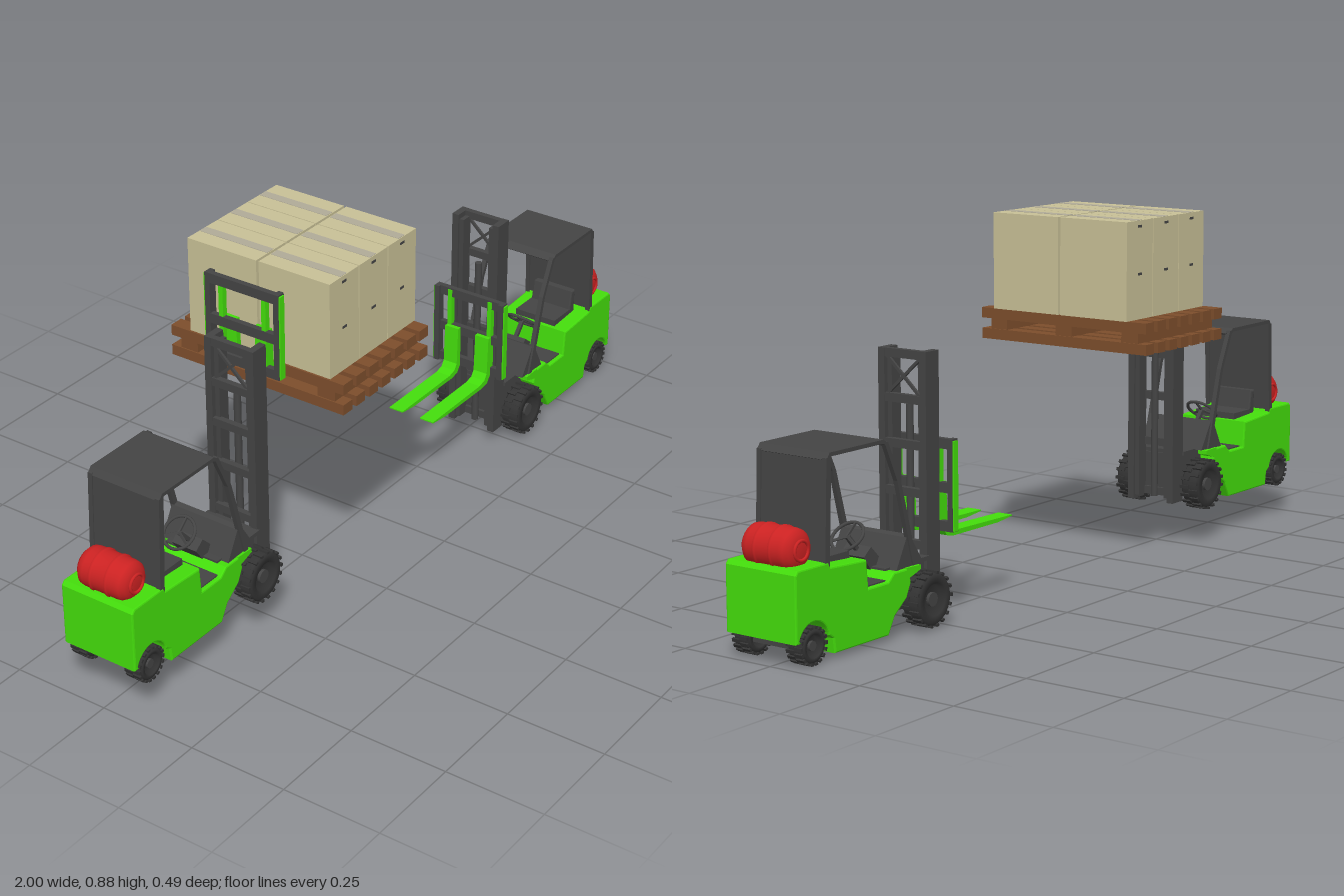
import * as THREE from 'three';

const mat = (color) => new THREE.MeshStandardMaterial({ color });
const GREEN = mat(0x44dd0c), DARK = mat(0x444444), TYRE = mat(0x333333), RED = mat(0xcc2222);
const WOOD = mat(0x7d4e2c), CARD = mat(0xc8c096), TAPE = mat(0xb0ab98);

function add(parent, name, geo, material, x = 0, y = 0, z = 0) {
  const m = new THREE.Mesh(geo, material);
  m.name = name;
  m.position.set(x, y, z);
  parent.add(m);
  return m;
}

// box given by its ranges
function span(parent, name, material, x0, x1, y0, y1, z0, z1) {
  return add(parent, name, new THREE.BoxGeometry(x1 - x0, y1 - y0, z1 - z0), material,
    (x0 + x1) / 2, (y0 + y1) / 2, (z0 + z1) / 2);
}

// side profile pulled out across the width, centred on z
function slab(parent, name, material, shape, z, width, bevel = 0) {
  const geo = new THREE.ExtrudeGeometry(shape, {
    depth: width - 2 * bevel, bevelEnabled: bevel > 0, bevelSize: bevel, bevelThickness: bevel,
    bevelOffset: -bevel, bevelSegments: 2, curveSegments: 10,
  });
  geo.translate(0, 0, -width / 2 + bevel);
  return add(parent, name, geo, material, 0, 0, z);
}

const poly = (pts) => new THREE.Shape(pts.map((p) => new THREE.Vector2(...p)));

// straight bar between two points
function bar(parent, name, material, a, b, w, d) {
  const A = new THREE.Vector3(...a), B = new THREE.Vector3(...b);
  const m = add(parent, name, new THREE.BoxGeometry(w, A.distanceTo(B), d), material);
  m.position.copy(A).add(B).multiplyScalar(0.5);
  m.quaternion.setFromUnitVectors(new THREE.Vector3(0, 1, 0), B.clone().sub(A).normalize());
  return m;
}

function wheel(parent, name, x, y, z, r, width) {
  const g = new THREE.Group();
  g.name = name;
  g.position.set(x, y, z);
  parent.add(g);
  const h = width / 2, s = r - 0.005;
  const profile = [[0, -h * 0.5], [r * 0.5, -h * 0.5], [r * 0.58, -h], [s - 0.006, -h], [s, -h * 0.75],
    [s, h * 0.75], [s - 0.006, h], [r * 0.58, h], [r * 0.5, h * 0.5], [0, h * 0.5]];
  const tyre = add(g, 'tyre', new THREE.LatheGeometry(profile.map((p) => new THREE.Vector2(...p)), 28), TYRE);
  tyre.rotation.x = Math.PI / 2;
  const hub = add(g, 'hub', new THREE.CylinderGeometry(r * 0.25, r * 0.25, width * 0.8, 16), DARK);
  hub.rotation.x = Math.PI / 2;
  // tread lugs, staggered on the two halves
  for (let i = 0; i < 36; i++) {
    const a = (i / 36) * Math.PI * 2;
    const lug = add(g, 'treadLug', new THREE.BoxGeometry(0.008, 0.006, h), TYRE,
      Math.sin(a) * (r - 0.004), Math.cos(a) * (r - 0.004), (i % 2 ? 1 : -1) * h * 0.5);
    lug.rotation.z = -a;
  }
}

// truck with its rear at x = 0, driving towards +x
function forklift(name, lift) {
  const t = new THREE.Group();
  t.name = name;

  // bodywork with rear wheel arch, seat box, footwell and front fender
  const s = poly([[0.31, 0.015], [0.332, 0.055], [0.375, 0.088], [0.39, 0.12], [0.385, 0.155], [0.33, 0.155],
    [0.31, 0.137], [0.242, 0.137], [0.236, 0.203], [0.115, 0.21], [0.108, 0.222], [0.008, 0.222],
    [0, 0.212], [0, 0.06], [0.01, 0.06]]);
  s.absarc(0.059, 0.05, 0.05, Math.PI * 0.94, 0.2, true);
  s.lineTo(0.122, 0.05);
  s.lineTo(0.127, 0.015);
  slab(t, 'body', GREEN, s, 0, 0.202, 0.004);

  // chassis, axles and deck
  span(t, 'frontChassis', DARK, 0.36, 0.495, 0.05, 0.15, -0.06, 0.06);
  span(t, 'frontDeck', DARK, 0.33, 0.49, 0.15, 0.16, -0.075, 0.075);
  span(t, 'footwellMat', DARK, 0.245, 0.312, 0.136, 0.14, -0.09, 0.09);
  span(t, 'rearAxle', DARK, 0.04, 0.08, 0.035, 0.085, -0.06, 0.06);
  for (const k of [-1, 1]) {
    wheel(t, 'frontWheel', 0.445, 0.073, k * 0.1, 0.066, 0.05);
    wheel(t, 'rearWheel', 0.059, 0.046, k * 0.078, 0.045, 0.044);
    // front fender strip over the wheel
    slab(t, 'frontFender', GREEN, poly([[0.375, 0.13], [0.4, 0.137], [0.425, 0.145], [0.425, 0.155], [0.375, 0.157]]),
      k * 0.088, 0.026);
  }

  // seat
  span(t, 'seatCushion', DARK, 0.135, 0.225, 0.2, 0.22, -0.06, 0.06);
  slab(t, 'seatBack', DARK, poly([[0.125, 0.205], [0.15, 0.21], [0.14, 0.27], [0.122, 0.27]]), 0, 0.12, 0.004);

  // cowl and steering
  slab(t, 'cowl', DARK, poly([[0.345, 0.155], [0.382, 0.225], [0.394, 0.23], [0.44, 0.158]]), 0, 0.19);
  slab(t, 'pedalBox', DARK, poly([[0.305, 0.185], [0.33, 0.205], [0.365, 0.17], [0.33, 0.15]]), 0, 0.07);
  bar(t, 'steeringColumn', DARK, [0.29, 0.232, 0], [0.345, 0.17, 0], 0.01, 0.01);
  const wheelGroup = new THREE.Group();
  wheelGroup.name = 'steeringWheel';
  wheelGroup.position.set(0.29, 0.232, 0);
  wheelGroup.rotation.z = 0.72;
  t.add(wheelGroup);
  add(wheelGroup, 'rim', new THREE.TorusGeometry(0.04, 0.004, 8, 28), DARK).rotation.x = Math.PI / 2;
  for (let i = 0; i < 3; i++) {
    const a = (i * Math.PI * 2) / 3;
    bar(wheelGroup, 'spoke', DARK, [0, 0, 0], [Math.cos(a) * 0.04, 0, Math.sin(a) * 0.04], 0.006, 0.004);
  }

  // overhead guard: roof, solid rear panel and bent front posts
  slab(t, 'roof', DARK, poly([[0.107, 0.446], [0.118, 0.461], [0.3, 0.461], [0.318, 0.448], [0.313, 0.444],
    [0.298, 0.452], [0.122, 0.452], [0.113, 0.443]]), 0, 0.2);
  slab(t, 'rearPanel', DARK, poly([[0.1, 0.21], [0.11, 0.21], [0.12, 0.45], [0.11, 0.45]]), 0, 0.18);
  for (const k of [-1, 1]) {
    slab(t, 'rearPost', DARK, poly([[0.098, 0.21], [0.113, 0.21], [0.123, 0.455], [0.107, 0.45]]), k * 0.094, 0.012);
    slab(t, 'frontPost', DARK, poly([[0.302, 0.455], [0.314, 0.455], [0.358, 0.36], [0.414, 0.158],
      [0.4, 0.158], [0.346, 0.36]]), k * 0.094, 0.012);
  }

  // gas bottle lying across the rear, with bands
  const half = [[0, 0.072], [0.02, 0.072], [0.036, 0.067], [0.046, 0.057], [0.048, 0.045], [0.048, 0.027],
    [0.051, 0.025], [0.051, 0.019], [0.048, 0.017]];
  const outline = [...half.map(([r, h]) => [r, -h]), ...half.slice().reverse()];
  add(t, 'gasBottle', new THREE.LatheGeometry(outline.map((p) => new THREE.Vector2(...p)), 32), RED,
    0.053, 0.254, 0).rotation.x = Math.PI / 2;
  for (const k of [-1, 1]) {
    add(t, 'bottleCollar', new THREE.TorusGeometry(0.022, 0.004, 8, 20), RED, 0.053, 0.254, k * 0.072);
    span(t, 'bottleCradle', DARK, 0.02, 0.095, 0.215, 0.226, k * 0.045 - 0.008, k * 0.045 + 0.008);
  }

  // mast: channel rails, cross members and top bracing
  for (const k of [-1, 1]) {
    span(t, 'outerRail', DARK, 0.487, 0.535, 0.03, 0.628, k * 0.06 - 0.009, k * 0.06 + 0.009);
    span(t, 'innerRail', DARK, 0.498, 0.53, 0.04, 0.615, k * 0.044 - 0.006, k * 0.044 + 0.006);
    bar(t, 'mastBrace', DARK, [0.495, 0.52, -k * 0.05], [0.495, 0.612, k * 0.05], 0.006, 0.007);
  }
  for (const y of [0.05, 0.18, 0.3, 0.41, 0.515, 0.618]) {
    span(t, 'mastCrossMember', DARK, 0.488, 0.503, y - 0.01, y + 0.01, -0.06, 0.06);
  }
  add(t, 'liftCylinder', new THREE.CylinderGeometry(0.009, 0.009, 0.46, 14), DARK, 0.515, 0.27, 0);

  // carriage and forks, raised together
  const c = new THREE.Group();
  c.name = 'forkCarriage';
  c.position.y = lift;
  t.add(c);
  for (const y of [0.22, 0.31, 0.412]) span(c, 'carriageBar', DARK, 0.538, 0.552, y - 0.012, y + 0.012, -0.102, 0.102);
  for (const k of [-1, 1]) {
    span(c, 'carriageUpright', DARK, 0.538, 0.56, 0.208, 0.424, k * 0.096 - 0.007, k * 0.096 + 0.007);
    span(c, 'carriageEdge', GREEN, 0.54, 0.556, 0.21, 0.42, k * 0.104 - 0.003, k * 0.104 + 0.003);
    span(c, 'carriageInnerUpright', GREEN, 0.54, 0.554, 0.21, 0.42, k * 0.06 - 0.006, k * 0.06 + 0.006);
    slab(c, 'fork', GREEN, poly([[0.552, 0.32], [0.564, 0.32], [0.568, 0.22], [0.578, 0.205], [0.6, 0.199],
      [0.815, 0.196], [0.815, 0.193], [0.76, 0.187], [0.59, 0.187], [0.565, 0.192], [0.552, 0.21]]), k * 0.046, 0.04);
  }
  return t;
}

function loadedPallet() {
  const p = new THREE.Group();
  p.name = 'loadedPallet';
  const x0 = -0.417, x1 = -0.08, n = 7, pitch = (x1 - x0 - 0.034) / (n - 1);
  for (let i = 0; i < n; i++) {
    const x = x0 + i * pitch;
    span(p, 'topBoard', WOOD, x, x + 0.036, 0.614, 0.64, -0.245, 0.245);
    span(p, 'bottomBoard', WOOD, x, x + 0.034, 0.562, 0.588, -0.245, 0.245);
  }
  for (const z of [-0.195, 0, 0.195]) span(p, 'stringer', WOOD, x0 + 0.003, x1 - 0.003, 0.587, 0.615, z - 0.024, z + 0.024);

  // cartons, three by two, with tape along the top and hand slots in the ends
  for (let i = 0; i < 3; i++) {
    for (const [z0, z1] of [[-0.192, 0.003], [0.01, 0.205]]) {
      const a = -0.412 + i * 0.1135, b = a + 0.111, m = (a + b) / 2;
      span(p, 'carton', CARD, a, b, 0.64, 0.879, z0, z1);
      span(p, 'cartonTape', TAPE, m - 0.012, m + 0.012, 0.878, 0.88, z0 + 0.002, z1 - 0.002);
      const end = z0 < 0 ? z0 : z1;
      for (const y of [0.75, 0.865]) span(p, 'handSlot', DARK, m - 0.008, m + 0.008, y - 0.003, y + 0.003, end - 0.001, end + 0.001);
    }
  }
  return p;
}

export function createModel() {
  const model = new THREE.Group();
  model.name = 'forkliftsAndPallet';
  const loaded = forklift('loadedForklift', 0.335);
  loaded.position.set(-1, 0.081, -0.003);
  const empty = forklift('emptyForklift', 0);
  empty.position.set(1, 0, 0.024);
  empty.rotation.y = Math.PI;
  model.add(loaded, empty, loadedPallet());
  return model;
}
